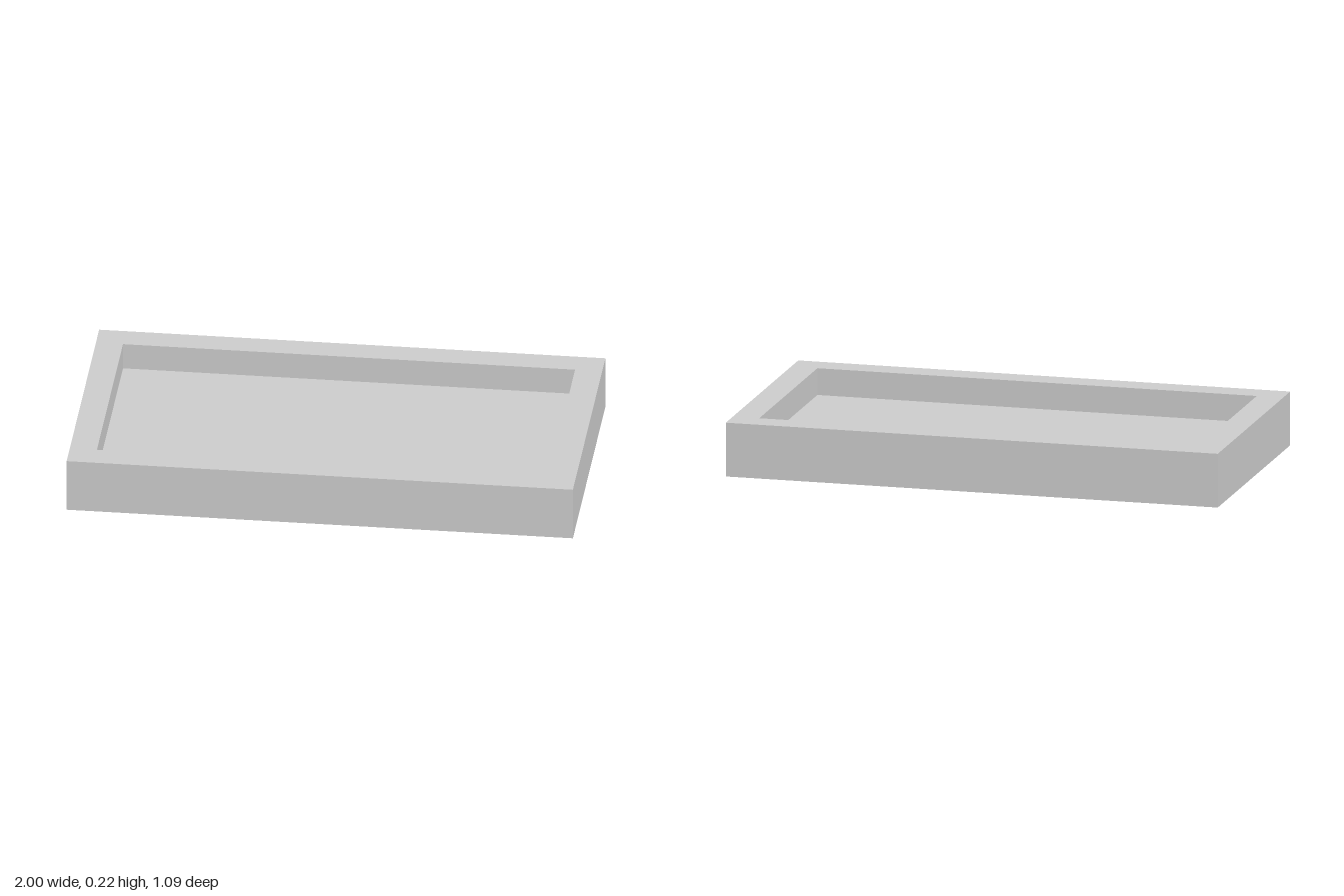
import * as THREE from 'three';

const WIDTH = 2, DEPTH = 1.086, HEIGHT = 0.217;
const WALL = 0.107, FLOOR = 0.109;

// Rectangular loop, counter-clockwise seen from above
function loop(inset, y) {
  const x = WIDTH / 2 - inset, z = DEPTH / 2 - inset;
  return [[x, y, z], [x, y, -z], [-x, y, -z], [-x, y, z]];
}

// Closed tray skin: outer wall, rim, inner wall, then floor and underside
function trayGeometry() {
  const loops = [loop(0, 0), loop(0, HEIGHT), loop(WALL, HEIGHT), loop(WALL, FLOOR)];
  const positions = [];
  const quad = (a, b, c, d) => positions.push(...[a, b, c, a, c, d].flat());

  for (let k = 0; k < loops.length - 1; k++) {
    for (let i = 0; i < 4; i++) {
      const j = (i + 1) % 4;
      quad(loops[k][i], loops[k][j], loops[k + 1][j], loops[k + 1][i]);
    }
  }
  quad(...loops[3]);
  quad(...loops[0].slice().reverse());

  const geometry = new THREE.BufferGeometry();
  geometry.setAttribute('position', new THREE.Float32BufferAttribute(positions, 3));
  geometry.computeVertexNormals();
  return geometry;
}

export function createModel() {
  const model = new THREE.Group();
  model.name = 'rectangularTray';
  const material = new THREE.MeshStandardMaterial({ color: 0xcccccc, flatShading: true });
  const tray = new THREE.Mesh(trayGeometry(), material);
  tray.name = 'tray';
  model.add(tray);
  return model;
}
